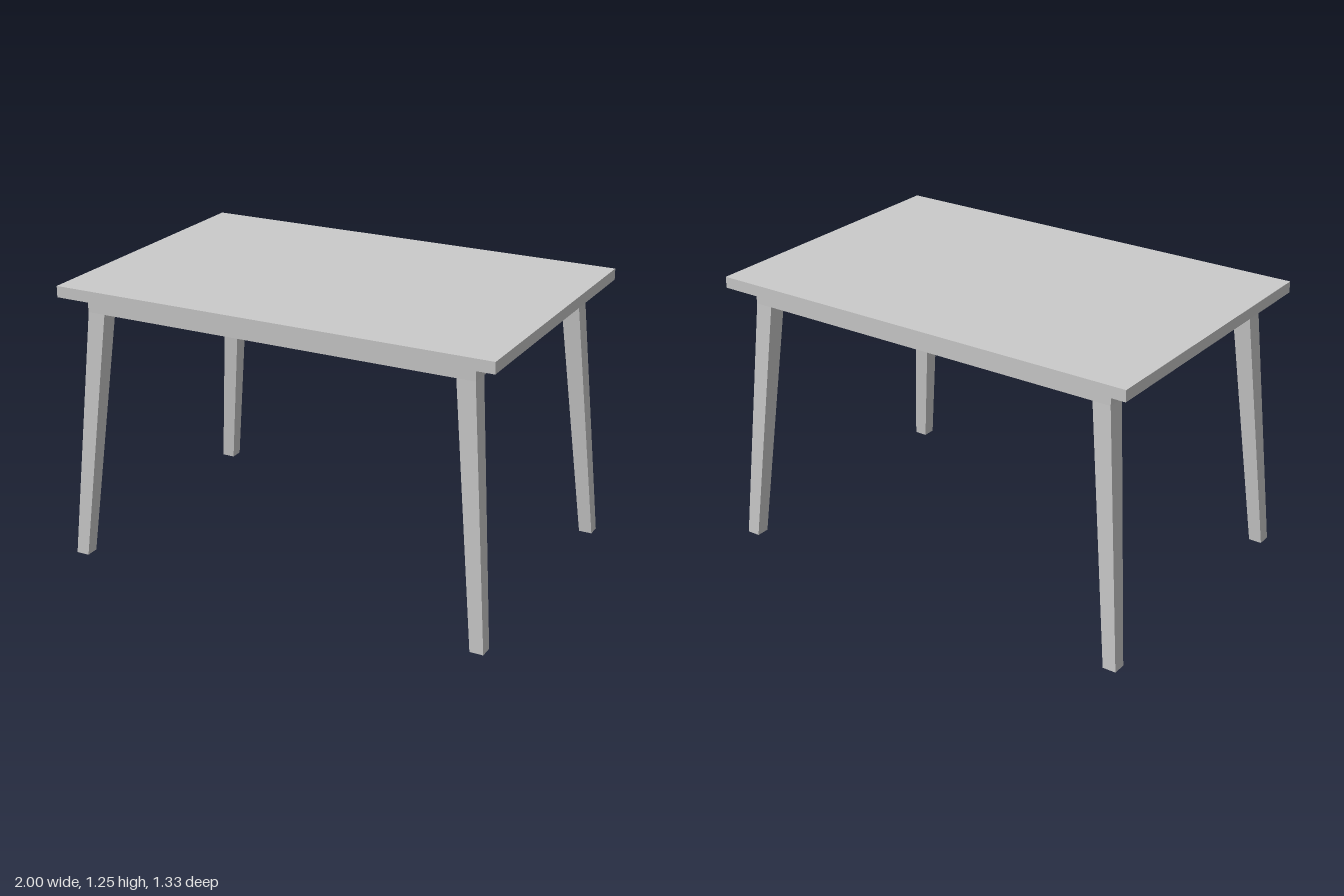
import * as THREE from 'three';

const TOP_Y = 1.25, TOP_UNDERSIDE = 1.2, APRON_BOTTOM = 1.13;

const material = new THREE.MeshStandardMaterial({ color: 0xcccccc, flatShading: true });

// Box standing between two heights, centred on x and z
function slab(name, width, depth, y0, y1) {
  const geometry = new THREE.BoxGeometry(width, y1 - y0, depth);
  geometry.translate(0, (y0 + y1) / 2, 0);
  const mesh = new THREE.Mesh(geometry, material);
  mesh.name = name;
  return mesh;
}

// Tapered, splayed leg: a box whose top and bottom ends are resized and shifted
function leg(name, sx, sz) {
  const geometry = new THREE.BoxGeometry(1, 1, 1);
  const p = geometry.attributes.position;
  const top = { x: 0.853, z: 0.557, size: 0.081, y: APRON_BOTTOM };
  const foot = { x: 0.958, z: 0.627, size: 0.06, y: 0 };
  for (let i = 0; i < p.count; i++) {
    const end = p.getY(i) > 0 ? top : foot;
    p.setXYZ(i, sx * end.x + p.getX(i) * end.size, end.y, sz * end.z + p.getZ(i) * end.size);
  }
  geometry.computeVertexNormals();
  const mesh = new THREE.Mesh(geometry, material);
  mesh.name = name;
  return mesh;
}

export function createModel() {
  const table = new THREE.Group();
  table.name = 'table';

  // Top board and the solid apron block beneath it
  table.add(slab('tableTop', 2, 1.334, TOP_UNDERSIDE, TOP_Y));
  table.add(slab('apron', 1.788, 1.196, APRON_BOTTOM, TOP_UNDERSIDE));

  // Four legs, mirrored to the corners
  for (const [sz, end] of [[1, 'front'], [-1, 'back']]) {
    for (const [sx, side] of [[1, 'Left'], [-1, 'Right']]) {
      table.add(leg(`${end}${side}Leg`, sx, sz));
    }
  }
  return table;
}
